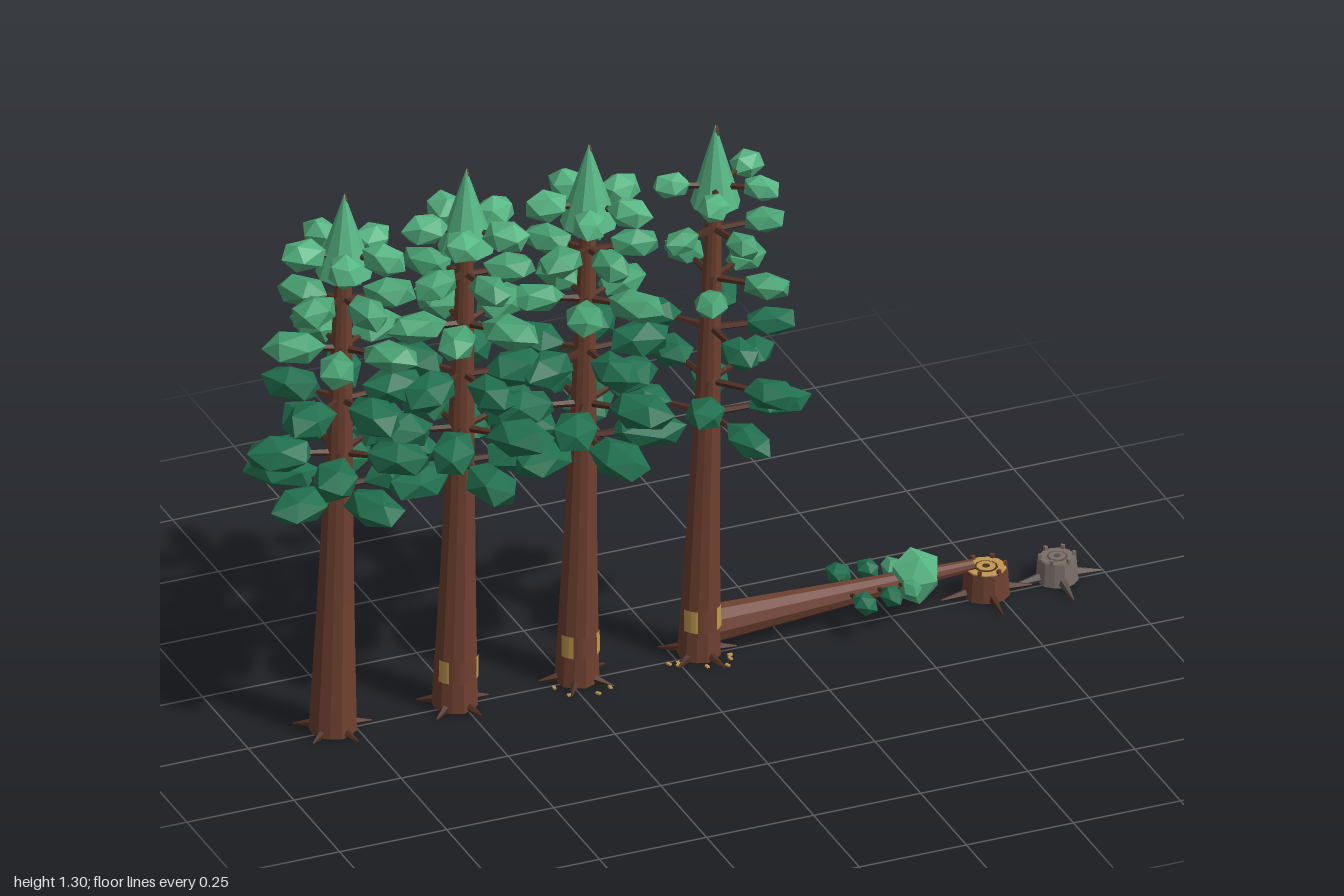
import * as THREE from 'three';

const mat = (name, color) => {
  const m = new THREE.MeshStandardMaterial({ color });
  m.name = name;
  return m;
};

export function createModel() {
  const M = {
    bark: mat('bark', 0x6e4030), darkBark: mat('dark bark', 0x4e2e22),
    wood: mat('cut wood', 0xc2994f), deep: mat('deep green', 0x21704f),
    mid: mat('mid green', 0x48a173), light: mat('light green', 0x57b684),
    grey: mat('weathered wood', 0x7a6e67), darkGrey: mat('dark weathered wood', 0x5a504b),
  };
  const root = new THREE.Group();
  root.name = 'treeFellingStages';

  let seed = 7;
  const rnd = () => (seed = (seed * 16807) % 2147483647) / 2147483647;
  const vary = (a) => 1 + (rnd() - 0.5) * 2 * a;
  const V = (x, y, z) => new THREE.Vector3(x, y, z);

  // Faceted mesh: split vertices so every face has its own normal
  function add(parent, name, geo, material, pos) {
    const g = geo.index ? geo.toNonIndexed() : geo;
    g.computeVertexNormals();
    const mesh = new THREE.Mesh(g, material);
    mesh.name = name;
    if (pos) mesh.position.copy(pos);
    parent.add(mesh);
    return mesh;
  }

  // Tapered rod between two points
  function rod(parent, name, a, b, ra, rb, material, sides = 5) {
    const d = b.clone().sub(a);
    const m = add(parent, name, new THREE.CylinderGeometry(rb, ra, d.length(), sides), material,
      a.clone().add(b).multiplyScalar(0.5));
    m.quaternion.setFromUnitVectors(V(0, 1, 0), d.normalize());
  }

  // Lightly fluted round body from a profile, sheared by a lean per unit of height
  function fluted(profile, leanX = 0, leanZ = 0) {
    const g = new THREE.LatheGeometry(profile.map(([r, y]) => new THREE.Vector2(r, y)), 12);
    const p = g.attributes.position;
    for (let i = 0; i < p.count; i++) {
      const x = p.getX(i), y = p.getY(i), z = p.getZ(i);
      const k = 1 + 0.03 * Math.cos(6 * Math.atan2(x, z));
      p.setXYZ(i, x * k + leanX * y, y, z * k + leanZ * y);
    }
    return g;
  }

  // Chunky leaf clump, long axis pointing outward along angle a, facets turned at random
  function clump(parent, center, a, halfLength, halfHeight, halfWidth, material) {
    const g = new THREE.IcosahedronGeometry(1.1, 0).rotateX(rnd() * 6).rotateY(rnd() * 6);
    g.scale(halfLength, halfHeight, halfWidth);
    add(parent, 'foliageClump', g, material, center).rotation.set(0, -a, (rnd() - 0.5) * 0.14);
  }

  function roots(parent, material, count, reach, offset) {
    for (let i = 0; i < count; i++) {
      const a = offset + i * Math.PI * 2 / count, c = Math.cos(a), s = Math.sin(a);
      const r = reach * vary(0.06);
      rod(parent, 'root', V(c * 0.025, 0.014, s * 0.025), V(c * r, 0.004, s * r), 0.014, 0.002, material);
    }
  }

  // height, reach, half length, half height, half width, colour
  const layers = [
    [0.602, 0.22, 0.083, 0.034, 0.051, 'deep'],
    [0.683, 0.21, 0.074, 0.037, 0.049, 'deep'],
    [0.812, 0.19, 0.07, 0.037, 0.046, 'deep'],
    [0.936, 0.174, 0.064, 0.032, 0.043, 'mid'],
    [1.055, 0.153, 0.057, 0.031, 0.039, 'mid'],
    [1.162, 0.142, 0.05, 0.033, 0.037, 'light'],
  ];

  function tree(x, leanZ, girth, fullness, cut) {
    const t = new THREE.Group();
    t.name = 'tree';
    t.position.set(x, 0, -0.007);
    root.add(t);
    const leanX = 0.025, sparse = fullness < 0.9;
    const profile = [[0, 0.002], [0.051, 0.002], [0.047, 0.1], [0.039, 0.32], [0.031, 0.6],
      [0.018, 1.1], [0.005, 1.29], [0, 1.305]].map(([r, y]) => [r * girth, y]);
    add(t, 'trunk', fluted(profile, leanX, leanZ), M.bark);
    roots(t, M.darkBark, 5, 0.086, rnd() * 1.2);

    // Staggered whorls of five branches with leaf clumps; a sparse tree misses one per whorl
    layers.forEach(([y, reach, hl, hh, hw, colour], li) => {
      const c = V(leanX * y, y, leanZ * y + 0.006);
      for (let i = 0; i < 5; i++) {
        if (sparse && i === (li < 4 ? 2 : 3)) continue;
        const a = 0.17 + (i + (li % 2) * 0.5) * Math.PI * 0.4 + (rnd() - 0.5) * 0.16;
        const out = V(Math.cos(a), 0, Math.sin(a));
        const mid = c.clone().addScaledVector(out, reach * vary(0.02) - hl * fullness);
        mid.y += (rnd() - 0.5) * 0.014;
        rod(t, 'branch', c.clone().setY(y - 0.005), mid, 0.009, 0.005, M.darkBark);
        clump(t, mid, a, hl * fullness, hh * fullness * vary(0.06), hw * fullness * vary(0.08), M[colour]);
      }
    });

    // Pointed crown
    add(t, 'crown', new THREE.ConeGeometry(sparse ? 0.055 : 0.063, 0.193, 9), M.light,
      V(leanX * 1.2, 1.207, leanZ * 1.2));

    // Axe cut: pale wood around the front, with bark left in its middle
    if (cut) {
      const band = (name, r, h, w, m) => add(t, name,
        new THREE.CylinderGeometry(r * girth, r * girth + 0.001, h, 12, 1, true, -w / 2, w), m, V(0.0025, 0.1, 0));
      band('cutWood', 0.0502, 0.052, 2.5, M.wood);
      band('cutBark', 0.0514, 0.054, 1.6 - cut * 0.2, M.bark);
      // Chips on the ground
      for (let i = 0; i < cut * 4 - 4; i++) {
        const a = rnd() * Math.PI, r = 0.06 + rnd() * 0.03;
        add(t, 'chip', new THREE.BoxGeometry(0.011, 0.004, 0.007), M.wood,
          V(Math.cos(a) * r, 0.004, Math.sin(a) * r)).rotation.y = rnd() * 3;
      }
    }
  }

  tree(-0.8, -0.006, 1, 1, 0);
  tree(-0.515, -0.006, 0.96, 1, 1);
  tree(-0.23, -0.004, 0.93, 0.97, 2);
  tree(0.055, 0.017, 0.9, 0.82, 3);

  // Fallen log with a few remaining clumps
  const log = new THREE.Group();
  log.name = 'fallenLog';
  root.add(log);
  rod(log, 'logTrunk', V(0.09, 0.06, -0.022), V(0.7, 0.073, -0.02), 0.043, 0.013, M.bark, 10);
  for (const [x, reach, hl, hw, colour] of [[0.415, 0.086, 0.034, 0.026, 'deep'],
    [0.48, 0.078, 0.031, 0.024, 'deep'], [0.53, 0.066, 0.027, 0.022, 'mid']]) {
    for (const s of [1, -1]) {
      const c = V(x, 0.08, -0.014 + s * (reach - 0.012));
      rod(log, 'branch', V(x - 0.01, 0.07, -0.02), c, 0.007, 0.004, M.darkBark);
      clump(log, c, s * Math.PI / 2, hl, 0.021, hw, M[colour]);
    }
  }
  const logCrown = add(log, 'logCrown', new THREE.IcosahedronGeometry(1, 0), M.light, V(0.565, 0.076, -0.02));
  logCrown.scale.set(0.067, 0.062, 0.05);
  logCrown.rotation.z = Math.PI / 2;

  // Stumps with a cut top, growth rings and a splintered rim
  function stump(x, h, r, body, rootMat, top, ring) {
    const g = new THREE.Group();
    g.name = 'stump';
    g.position.set(x, 0, -0.011);
    root.add(g);
    add(g, 'stumpBody', fluted([[0, 0.002], [r * 1.1, 0.002], [r, h], [0, h]]), body);
    roots(g, rootMat, 4, 0.1, 0.05);
    [[0.96, top], [0.56, ring], [0.46, top], [0.18, ring]].forEach(([k, m], i) =>
      add(g, 'growthRing', new THREE.CylinderGeometry(r * k, r * k, 0.002, 12), m, V(0, h + 0.001 + i * 0.001, 0)));
    for (let i = 0; i < 6; i++) {
      const t = i * Math.PI / 3 + 0.2;
      add(g, 'splinter', new THREE.BoxGeometry(0.007, 0.014, 0.008), body,
        V(Math.cos(t) * r * 0.92, h + 0.004, Math.sin(t) * r * 0.92)).rotation.y = -t;
    }
  }
  stump(0.727, 0.066, 0.046, M.bark, M.darkBark, M.wood, M.darkBark);
  stump(0.893, 0.055, 0.041, M.grey, M.darkGrey, M.grey, M.darkGrey);

  return root;
}
